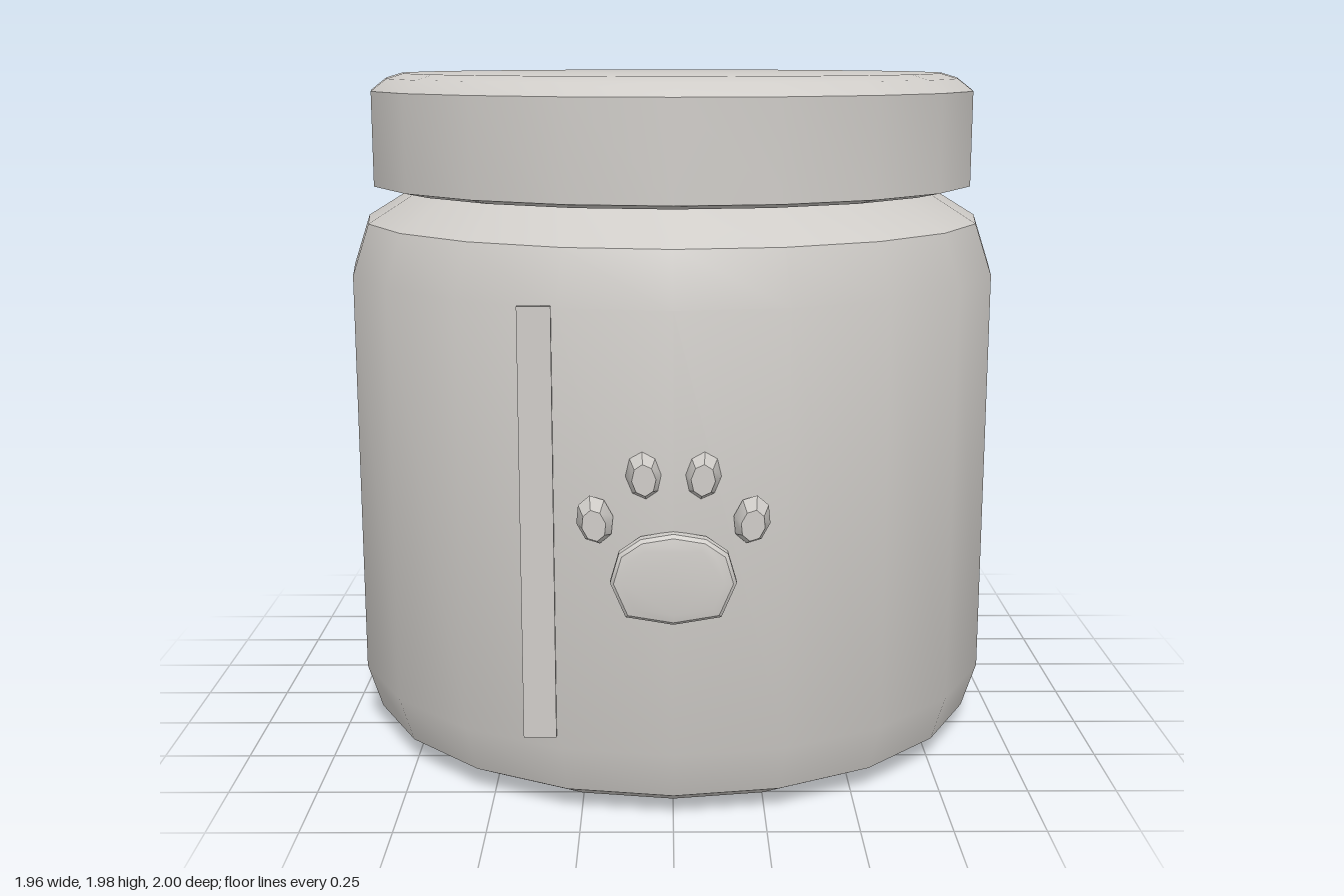
import * as THREE from 'three';
import { toCreasedNormals } from 'three/addons/utils/BufferGeometryUtils.js';

export function createModel() {
  const model = new THREE.Group();
  model.name = 'jar';
  const ceramic = new THREE.MeshStandardMaterial({ color: 0xcfccc8 });
  ceramic.name = 'warm grey ceramic';

  const add = (name, geometry, x, y, z, parent = model) => {
    const mesh = new THREE.Mesh(geometry, ceramic);
    mesh.name = name;
    mesh.position.set(x, y, z);
    parent.add(mesh);
    return mesh;
  };
  // Twenty-sided turned part from [radius, height] pairs
  const turned = (profile) => toCreasedNormals(
    new THREE.LatheGeometry(profile.map(([r, y]) => new THREE.Vector2(r, y)), 20), 0.6);

  // Jar body with chamfered foot and sloping shoulder
  add('body', turned([
    [0, 0], [0.815, 0], [0.937, 0.065], [0.98, 0.2], [0.98, 1.4],
    [0.93, 1.55], [0.775, 1.645], [0.775, 1.66], [0, 1.66],
  ]), 0, 0, -0.02);

  // Lid with a softened top edge
  add('lid', turned([
    [0, 1.643], [0.84, 1.643], [0.91, 1.658], [0.91, 1.93],
    [0.865, 1.965], [0.815, 1.98], [0, 1.98],
  ]), 0, 0, -0.02);

  // Thin upright strip on the front
  add('frontStrip', new THREE.BoxGeometry(0.088, 1.17, 0.022), -0.358, 0.82, 0.909);

  // Raised paw ornament
  const paw = new THREE.Group();
  paw.name = 'pawOrnament';
  model.add(paw);

  const half = [[0.085, 0.107], [0.142, 0.068], [0.165, -0.01], [0.125, -0.103]];
  const outline = [
    [0, 0.121], ...half, [0, -0.124],
    ...half.map(([x, y]) => [-x, y]).reverse(),
  ].map(([x, y]) => new THREE.Vector2(x, y)).reverse();
  const pad = new THREE.ExtrudeGeometry(new THREE.Shape(outline), {
    depth: 0.03, bevelThickness: 0.015, bevelSize: 0.03, bevelOffset: -0.03, bevelSegments: 2,
  });
  add('pad', toCreasedNormals(pad, 0.6), 0, 0.7, 0.955, paw);

  // Four tapered toes, mirrored in pairs
  const toe = new THREE.CylinderGeometry(0.64, 1, 0.06, 8);
  toe.rotateX(Math.PI / 2);
  toe.scale(0.049, 0.066, 1);
  const toeGeometry = toCreasedNormals(toe, 0.6);
  for (const side of [-1, 1]) {
    add('outerToe', toeGeometry, side * 0.205, 0.848, 0.97, paw).rotation.z = -side * 0.2;
    add('innerToe', toeGeometry, side * 0.076, 0.968, 0.97, paw).rotation.z = -side * 0.08;
  }
  return model;
}
